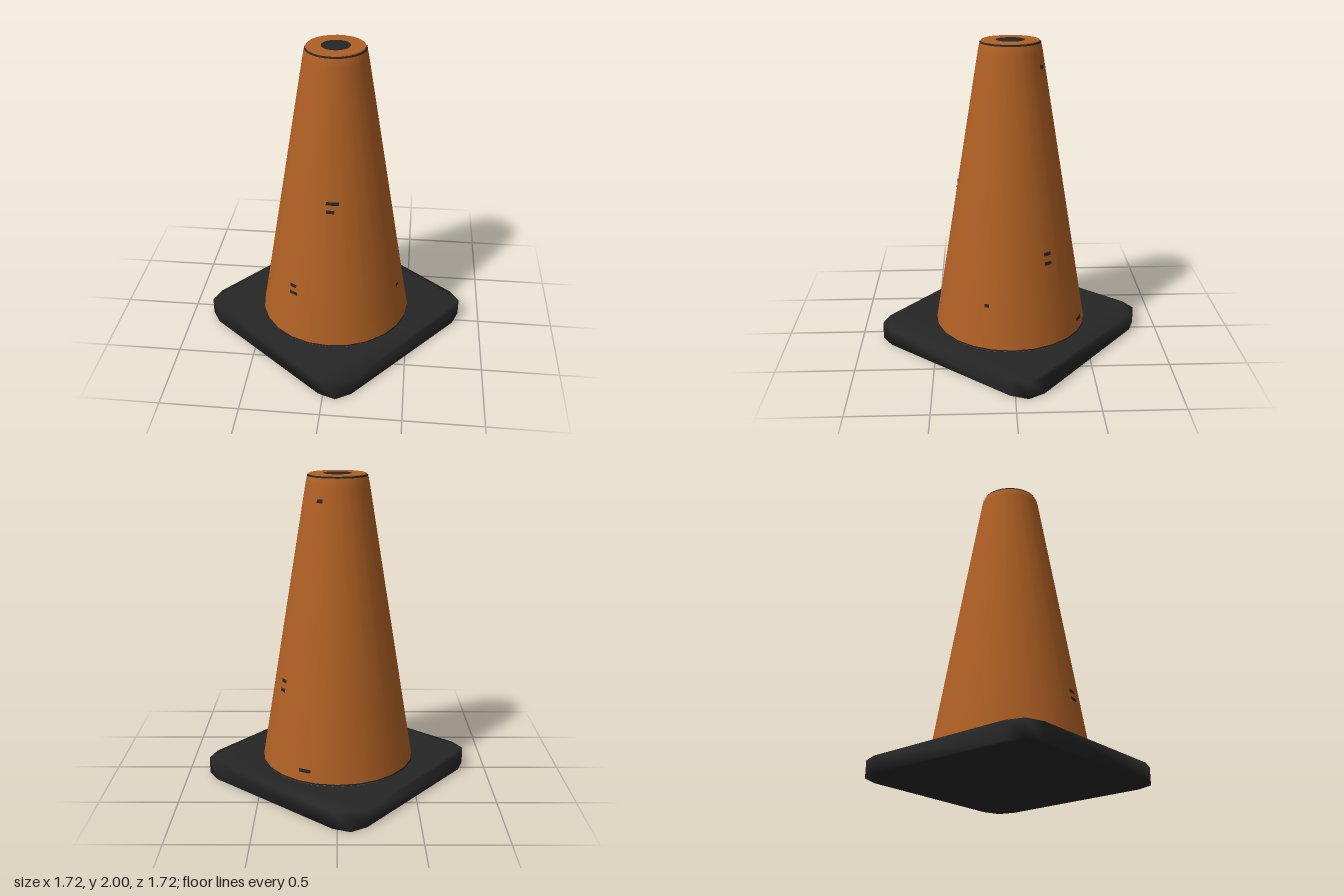
import * as THREE from 'three';
import { mergeVertices } from 'three/addons/utils/BufferGeometryUtils.js';

const SIDES = 24;
const coneRadius = (y) => 0.5 - (y - 0.11) * (0.3 / 1.82);

export function createModel() {
  const group = new THREE.Group();
  const orange = new THREE.MeshStandardMaterial({ color: 0xb06024 });
  orange.name = 'orange rubber';
  const black = new THREE.MeshStandardMaterial({ color: 0x262626 });
  black.name = 'black rubber';

  const add = (name, geometry, material, y = 0) => {
    const mesh = new THREE.Mesh(geometry, material);
    mesh.name = name;
    mesh.position.y = y;
    group.add(mesh);
    return mesh;
  };
  const lathe = (points) =>
    new THREE.LatheGeometry(points.map(([r, y]) => new THREE.Vector2(r, y)), SIDES);

  // Turned square base: one clipped corner repeated by quarter turns
  const corner = [[0.8, -0.18], [0.86, -0.08], [0.82, 0.03]];
  const outline = [];
  for (let i = 0; i < 4; i++) {
    const c = Math.round(Math.cos(i * Math.PI / 2)), s = Math.round(Math.sin(i * Math.PI / 2));
    for (const [x, z] of corner) outline.push(new THREE.Vector2(x * c - z * s, -(x * s + z * c)));
  }
  let base = new THREE.ExtrudeGeometry(new THREE.Shape(outline), { depth: 0.11, bevelEnabled: false });
  base.rotateX(-Math.PI / 2);
  // Weld the corners so the slab shades softly
  base.deleteAttribute('normal');
  base.deleteAttribute('uv');
  base = mergeVertices(base, 1e-4);
  base.clearGroups();
  base.computeVertexNormals();
  add('base', base, black);

  // Cone wall with a rounded shoulder
  add('cone', lathe([[0.5, 0.11], [0.2, 1.93], [0.192, 1.97], [0.18, 1.995]]), orange);

  // Flat top and its dark opening
  const top = new THREE.RingGeometry(0.09, 0.18, SIDES).rotateX(-Math.PI / 2);
  add('topRim', top, orange, 1.995);
  add('topOpening', new THREE.CircleGeometry(0.09, SIDES).rotateX(-Math.PI / 2), black, 1.995);

  // Thin dark seams at the rim and the foot
  add('rimSeam', lathe([[0.191, 1.98], [0.186, 1.991]]), black);
  add('footSeam', lathe([[coneRadius(0.112) + 0.002, 0.112], [coneRadius(0.122) + 0.002, 0.122]]), black);

  // Small scuffs on the wall: angle in degrees from the front, height, width
  const scuffs = [
    [2, 1.1, 0.08], [0, 1.045, 0.05], [-33, 0.49, 0.05], [-32, 0.44, 0.06],
    [123, 0.71, 0.05], [123, 0.65, 0.05], [69, 0.4, 0.03],
    [155, 0.19, 0.08], [150, 1.845, 0.04],
  ];
  for (const [angle, y, width] of scuffs) {
    const h = 0.022, r = coneRadius(y) + 0.003, arc = width / r;
    const patch = new THREE.CylinderGeometry(
      r - h * 0.082, r + h * 0.082, h, 3, 1, true,
      THREE.MathUtils.degToRad(angle) - arc / 2, arc);
    add('scuff', patch, black, y);
  }
  return group;
}
